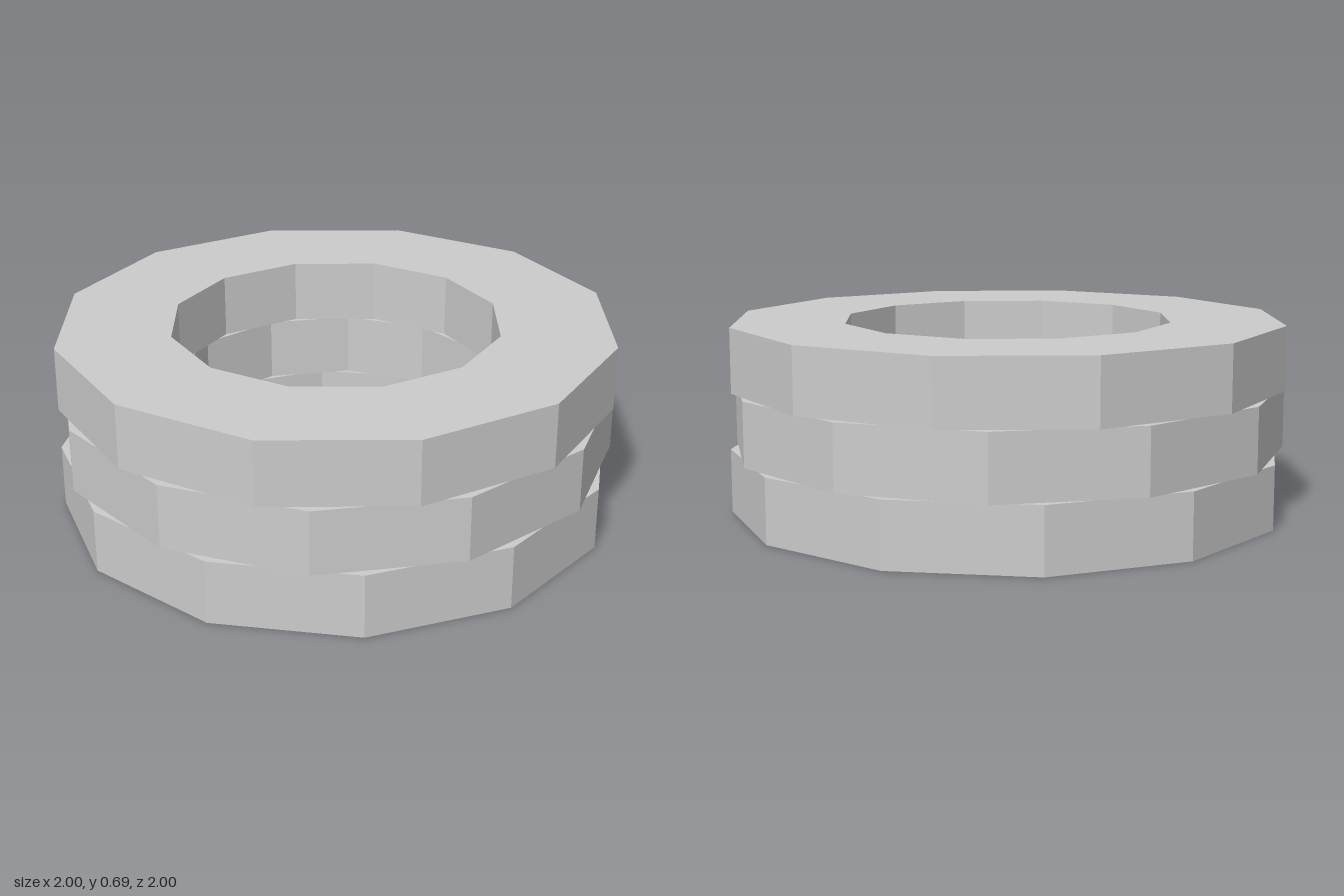
import * as THREE from 'three';

const SIDES = 12;
const COURSES = 3;
const COURSE_HEIGHT = 0.231;
const OUTER = 1.0038; // corner radii
const INNER = 0.596;
const HALF = Math.PI / SIDES;

// One wedge-shaped block, centred on +x and standing on y = 0
function blockGeometry() {
  const c = Math.cos(HALF), s = Math.sin(HALF);
  const shape = new THREE.Shape([
    new THREE.Vector2(INNER * c, -INNER * s),
    new THREE.Vector2(OUTER * c, -OUTER * s),
    new THREE.Vector2(OUTER * c, OUTER * s),
    new THREE.Vector2(INNER * c, INNER * s),
  ]);
  return new THREE.ExtrudeGeometry(shape, { depth: COURSE_HEIGHT, bevelEnabled: false })
    .rotateX(-Math.PI / 2);
}

export function createModel() {
  const model = new THREE.Group();
  model.name = 'stoneRing';
  const material = new THREE.MeshStandardMaterial({ color: 0xcccccc, flatShading: true });
  const geometry = blockGeometry();

  // Stacked courses, each turned a third of a block from the one below
  for (let i = 0; i < COURSES; i++) {
    const course = new THREE.Group();
    course.name = `course${i + 1}`;
    course.position.y = i * COURSE_HEIGHT;
    course.rotation.y = -i * (2 * HALF) / COURSES;
    for (let k = 0; k < SIDES; k++) {
      const block = new THREE.Mesh(geometry, material);
      block.name = `block${k + 1}`;
      block.rotation.y = k * 2 * HALF;
      course.add(block);
    }
    model.add(course);
  }
  return model;
}
